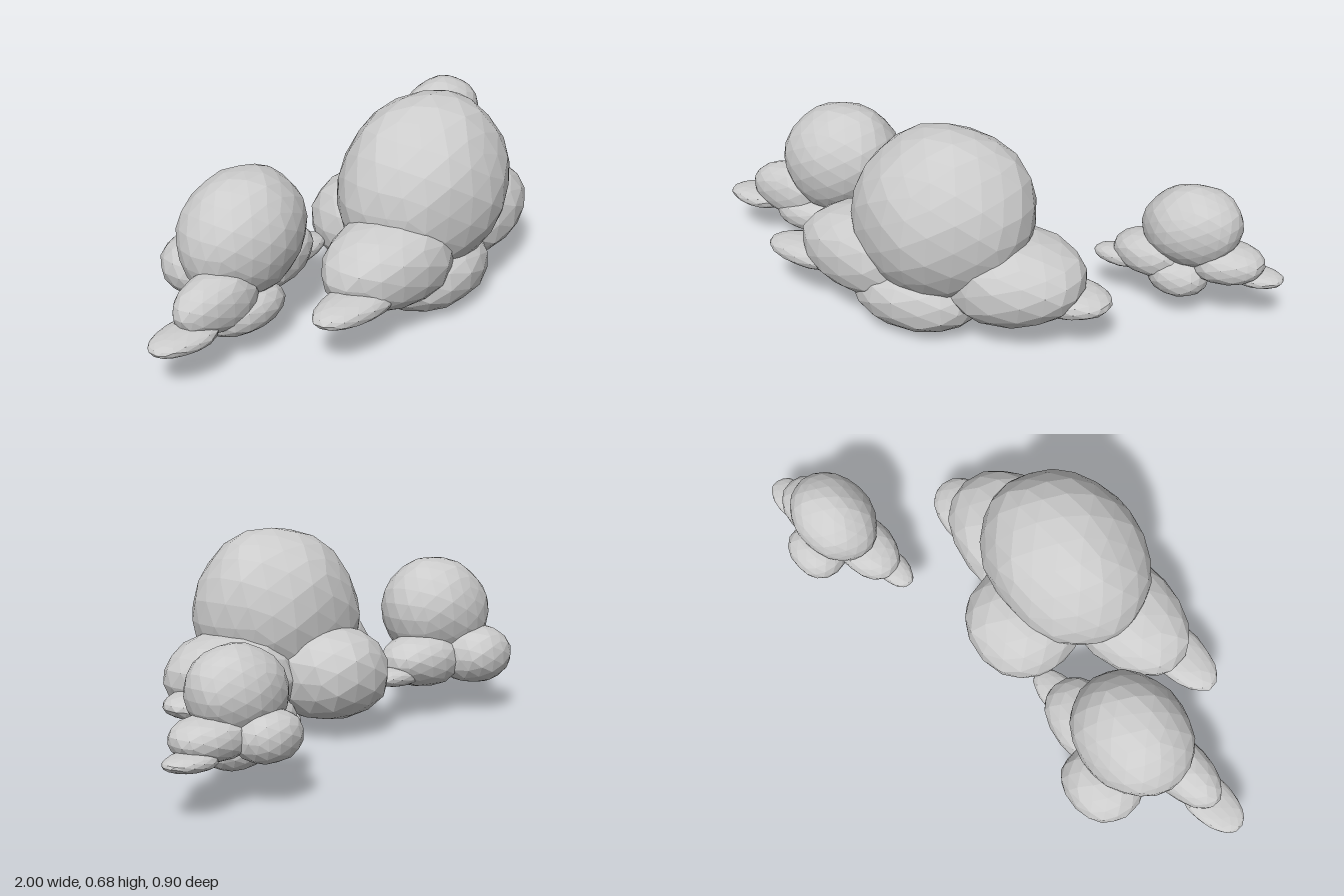
import * as THREE from 'three';

const material = new THREE.MeshStandardMaterial({ color: 0xcccccc, flatShading: true });

const blunt = (c, power) => Math.sign(c) * Math.abs(c) ** power;

// Faceted, slightly lumpy ellipsoid whose bounds match the given radii.
// taper narrows it towards +x (or -x if negative), lean pushes its top to +x,
// and a power below 1 makes it boxier
function puff(name, [x, y, z], [rx, ry, rz], { detail, taper, lean, power }, seed) {
  const geo = new THREE.IcosahedronGeometry(1, detail);
  const pos = geo.attributes.position;
  const v = new THREE.Vector3();
  for (let i = 0; i < pos.count; i++) {
    v.fromBufferAttribute(pos, i);
    const lump = Math.sin(v.x * 5 + seed) * Math.sin(v.y * 4 + seed * 2) * Math.sin(v.z * 5 + seed * 3);
    v.set(blunt(v.x, power), blunt(v.y, power), blunt(v.z, power)).multiplyScalar(1 + 0.03 * lump);
    const narrow = 1 - taper * v.x;
    pos.setXYZ(i, v.x + lean * v.y, v.y * narrow, v.z * narrow);
  }
  geo.center();
  geo.computeBoundingBox();
  geo.boundingBox.getSize(v);
  geo.scale(2 * rx / v.x, 2 * ry / v.y, 2 * rz / v.z);
  geo.computeVertexNormals();
  const mesh = new THREE.Mesh(geo, material);
  mesh.name = name;
  mesh.position.set(x, y, z);
  return mesh;
}

// Crowns are finer and lean a little; side puffs and tips narrow outwards
const crownStyle = { detail: 3, taper: 0, lean: 0.08, power: 1 };
const middleStyle = { detail: 2, taper: 0, lean: 0, power: 0.9 };
const leftStyle = { detail: 2, taper: 0.16, lean: 0.08, power: 0.88 };
const rightStyle = { detail: 2, taper: -0.16, lean: 0, power: 0.88 };
const styles = {
  crown: crownStyle,
  frontPuff: middleStyle,
  backPuff: middleStyle,
  leftPuff: leftStyle,
  leftTip: leftStyle,
  rightPuff: rightStyle,
  rightTip: rightStyle,
};

// Each puff: name, centre, radii
const clouds = {
  middleCloud: [
    ['crown', [0.01, 0.38, 0.19], [0.31, 0.295, 0.26]],
    ['frontPuff', [-0.045, 0.12, 0.245], [0.225, 0.12, 0.175]],
    ['backPuff', [-0.005, 0.205, -0.02], [0.195, 0.155, 0.2]],
    ['leftPuff', [0.275, 0.21, 0.165], [0.22, 0.15, 0.2]],
    ['leftTip', [0.44, 0.16, 0.13], [0.135, 0.05, 0.108]],
    ['rightPuff', [-0.255, 0.22, 0.235], [0.23, 0.147, 0.175]],
    ['rightTip', [-0.46, 0.165, 0.275], [0.155, 0.043, 0.088]],
  ],
  rightCloud: [
    ['crown', [-0.557, 0.335, -0.08], [0.215, 0.2, 0.182]],
    ['frontPuff', [-0.64, 0.135, -0.015], [0.15, 0.067, 0.1]],
    ['backPuff', [-0.585, 0.2, -0.23], [0.135, 0.1, 0.125]],
    ['leftPuff', [-0.395, 0.19, -0.12], [0.15, 0.095, 0.122]],
    ['leftTip', [-0.275, 0.155, -0.115], [0.115, 0.036, 0.064]],
    ['rightPuff', [-0.75, 0.2, -0.018], [0.145, 0.095, 0.09]],
    ['rightTip', [-0.885, 0.142, -0.012], [0.115, 0.033, 0.076]],
  ],
  leftCloud: [
    ['crown', [0.69, 0.305, -0.255], [0.165, 0.14, 0.133]],
    ['frontPuff', [0.67, 0.138, -0.22], [0.1, 0.067, 0.09]],
    ['backPuff', [0.685, 0.195, -0.36], [0.105, 0.075, 0.09]],
    ['leftPuff', [0.825, 0.2, -0.26], [0.115, 0.067, 0.1]],
    ['leftTip', [0.918, 0.16, -0.285], [0.082, 0.027, 0.062]],
    ['rightPuff', [0.56, 0.19, -0.228], [0.12, 0.075, 0.095]],
    ['rightTip', [0.46, 0.16, -0.21], [0.083, 0.033, 0.053]],
  ],
};

export function createModel() {
  const model = new THREE.Group();
  model.name = 'clouds';
  let seed = 1;
  for (const [cloudName, puffs] of Object.entries(clouds)) {
    const cloud = new THREE.Group();
    cloud.name = cloudName;
    for (const [name, centre, radii] of puffs) {
      cloud.add(puff(name, centre, radii, styles[name], seed++));
    }
    model.add(cloud);
  }
  return model;
}
